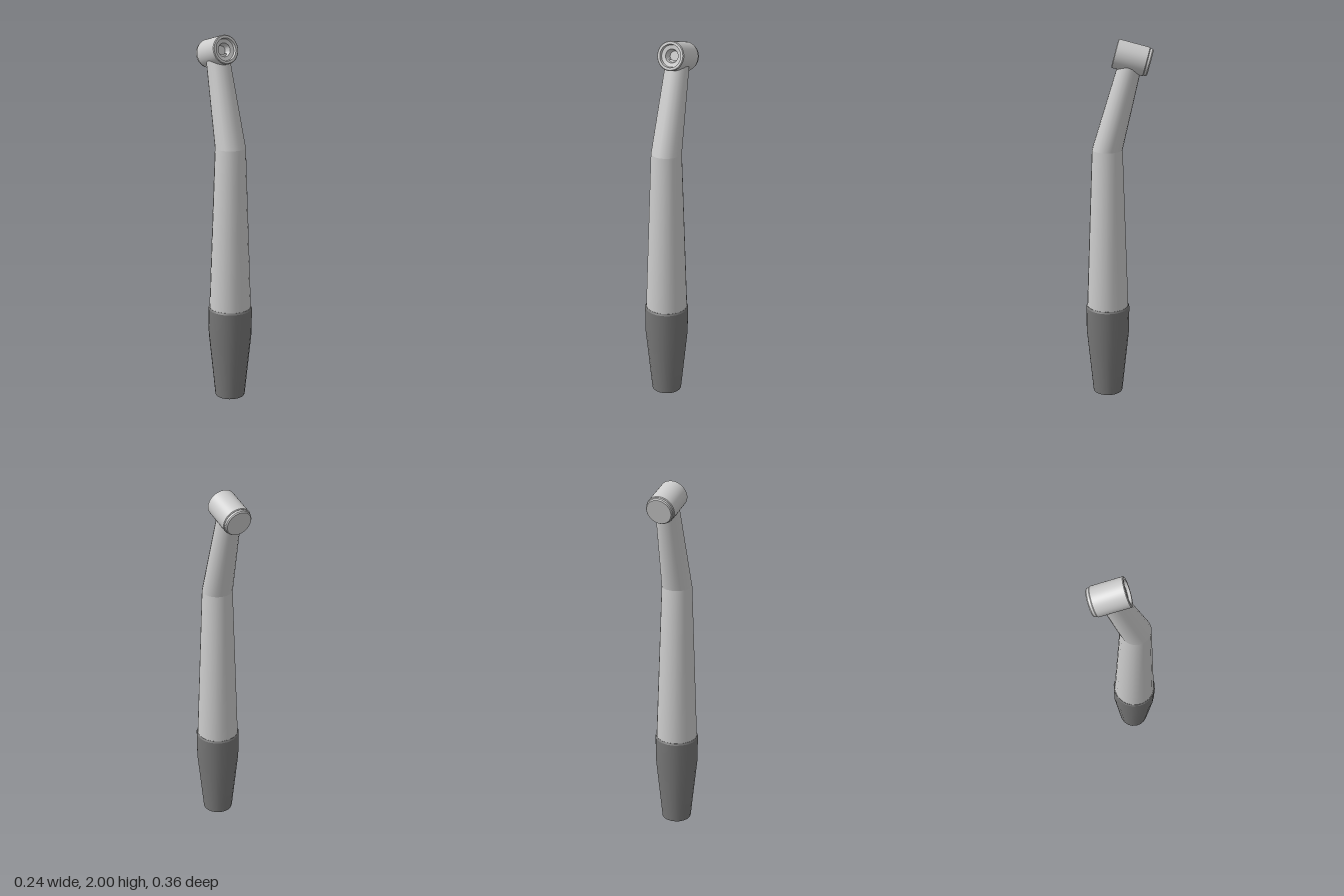
import * as THREE from 'three';
import { toCreasedNormals } from 'three/addons/utils/BufferGeometryUtils.js';

const steel = new THREE.MeshStandardMaterial({ color: 0xcccccc });
const dark = new THREE.MeshStandardMaterial({ color: 0x777777 });
const AXIS_Z = 0.06; // the straight shaft sits slightly forward
const SIDES = 20;

function part(name, geometry, material) {
  const mesh = new THREE.Mesh(toCreasedNormals(geometry, 0.4), material);
  mesh.name = name;
  return mesh;
}

// Surface of revolution from [radius, height] pairs
function turned(name, profile, sides, material) {
  const points = profile.map(([r, y]) => new THREE.Vector2(r, y));
  return part(name, new THREE.LatheGeometry(points, sides), material);
}

// Tapered tube with level ends whose centre leans from z0 to z1
function leaningTube(name, y0, z0, r0, y1, z1, r1) {
  const h = y1 - y0;
  const geo = new THREE.CylinderGeometry(r1, r0, h, SIDES, 1, true);
  const pos = geo.attributes.position;
  for (let i = 0; i < pos.count; i++) {
    const t = pos.getY(i) / h + 0.5;
    pos.setXYZ(i, pos.getX(i), y0 + t * h, pos.getZ(i) + z0 + t * (z1 - z0));
  }
  return part(name, geo, steel);
}

export function createModel() {
  const model = new THREE.Group();
  model.name = 'handpiece';

  // Dark grip at the base
  const grip = turned('grip', [
    [0, 0], [0.082, 0], [0.118, 0.36], [0.12, 0.51], [0.115, 0.52], [0, 0.52],
  ], SIDES, dark);
  grip.position.z = AXIS_Z;

  // Straight shaft and bent neck
  const shaft = leaningTube('shaft', 0.515, AXIS_Z, 0.114, 1.41, AXIS_Z, 0.082);
  const neck = leaningTube('neck', 1.41, AXIS_Z, 0.082, 1.9, -0.068, 0.062);

  // Tilted head: cap at the back, stepped socket at the front
  const head = new THREE.Group();
  head.name = 'head';
  head.add(
    turned('headShell', [
      [0, -0.172], [0.073, -0.172], [0.077, -0.168], [0.077, -0.004], [0.073, 0],
      [0.06, 0], [0.057, -0.015], [0.036, -0.018], [0.026, -0.05], [0, -0.05],
    ], 40, steel),
    turned('backCap', [[0, -0.19], [0.067, -0.19], [0.072, -0.184], [0.072, -0.17]], 40, steel),
  );
  head.position.set(0, 1.926, 0.019);
  head.rotation.x = THREE.MathUtils.degToRad(75.5);

  model.add(grip, shaft, neck, head);
  return model;
}
